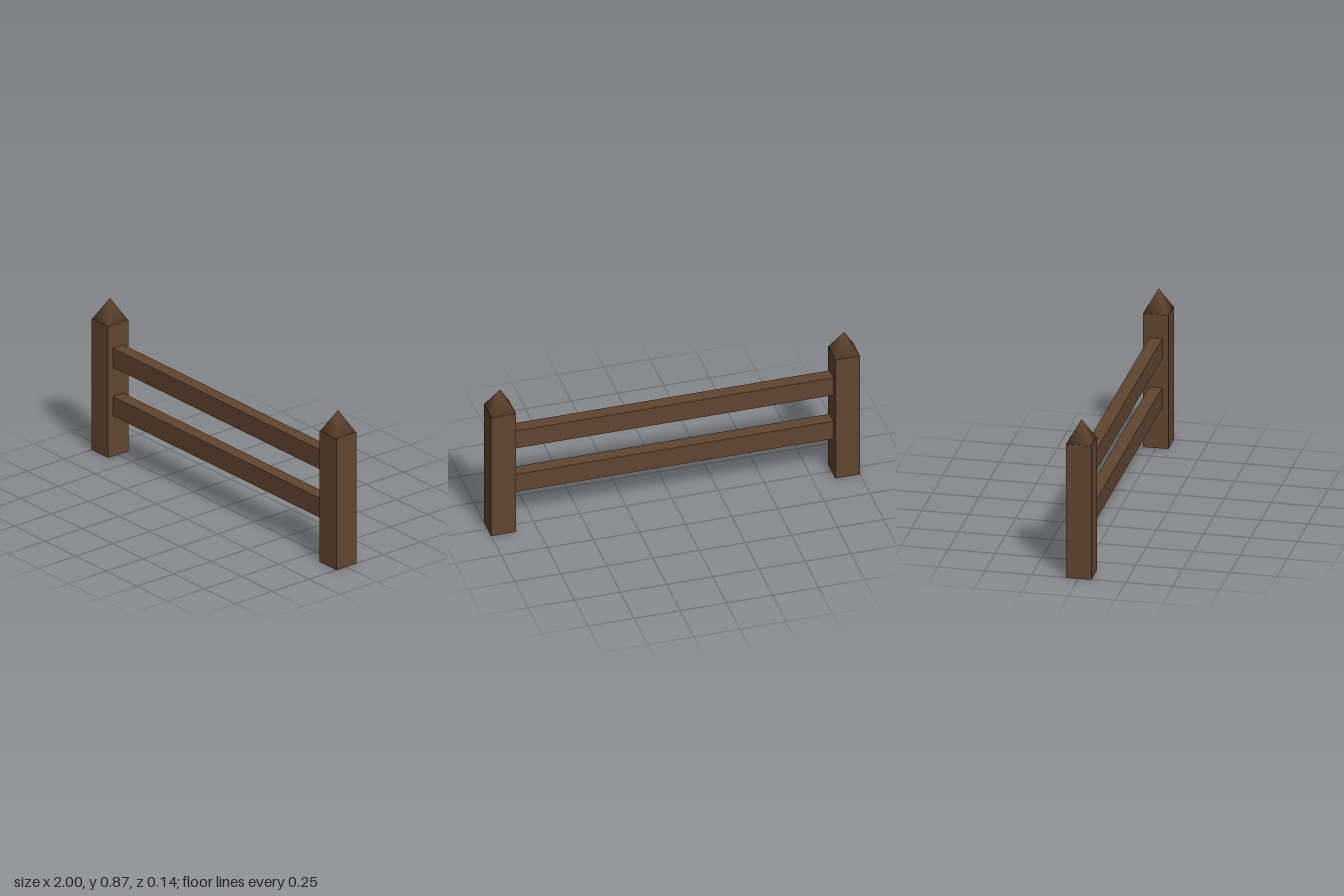
import * as THREE from 'three';
import { mergeVertices } from 'three/addons/utils/BufferGeometryUtils.js';

const POST = { width: 0.135, height: 0.747, x: 0.9325 };
const CAP = { width: 0.131, height: 0.121 };
const RAIL = { height: 0.11, depth: 0.07, levels: [0.285, 0.56] };

// Square pyramid with its vertices welded, so it shades softly
function capGeometry() {
  const cone = new THREE.ConeGeometry(CAP.width / Math.SQRT2, CAP.height, 4);
  cone.rotateY(Math.PI / 4);
  cone.deleteAttribute('uv');
  cone.deleteAttribute('normal');
  const welded = mergeVertices(cone, 1e-4);
  welded.computeVertexNormals();
  return welded;
}

export function createModel() {
  const group = new THREE.Group();
  group.name = 'fence';
  const wood = new THREE.MeshStandardMaterial({ color: 0x604530 });

  const add = (name, geometry, x, y) => {
    const mesh = new THREE.Mesh(geometry, wood);
    mesh.name = name;
    mesh.position.set(x, y, 0);
    group.add(mesh);
  };

  // Pointed posts at both ends
  const post = new THREE.BoxGeometry(POST.width, POST.height, POST.width);
  const cap = capGeometry();
  for (const [side, sign] of [['left', 1], ['right', -1]]) {
    add(`${side}Post`, post, sign * POST.x, POST.height / 2);
    add(`${side}PostCap`, cap, sign * POST.x, POST.height + CAP.height / 2);
  }

  // Two rails between the inner faces of the posts
  const rail = new THREE.BoxGeometry(2 * POST.x - POST.width, RAIL.height, RAIL.depth);
  RAIL.levels.forEach((y, i) => add(i ? 'upperRail' : 'lowerRail', rail, 0, y));

  return group;
}
